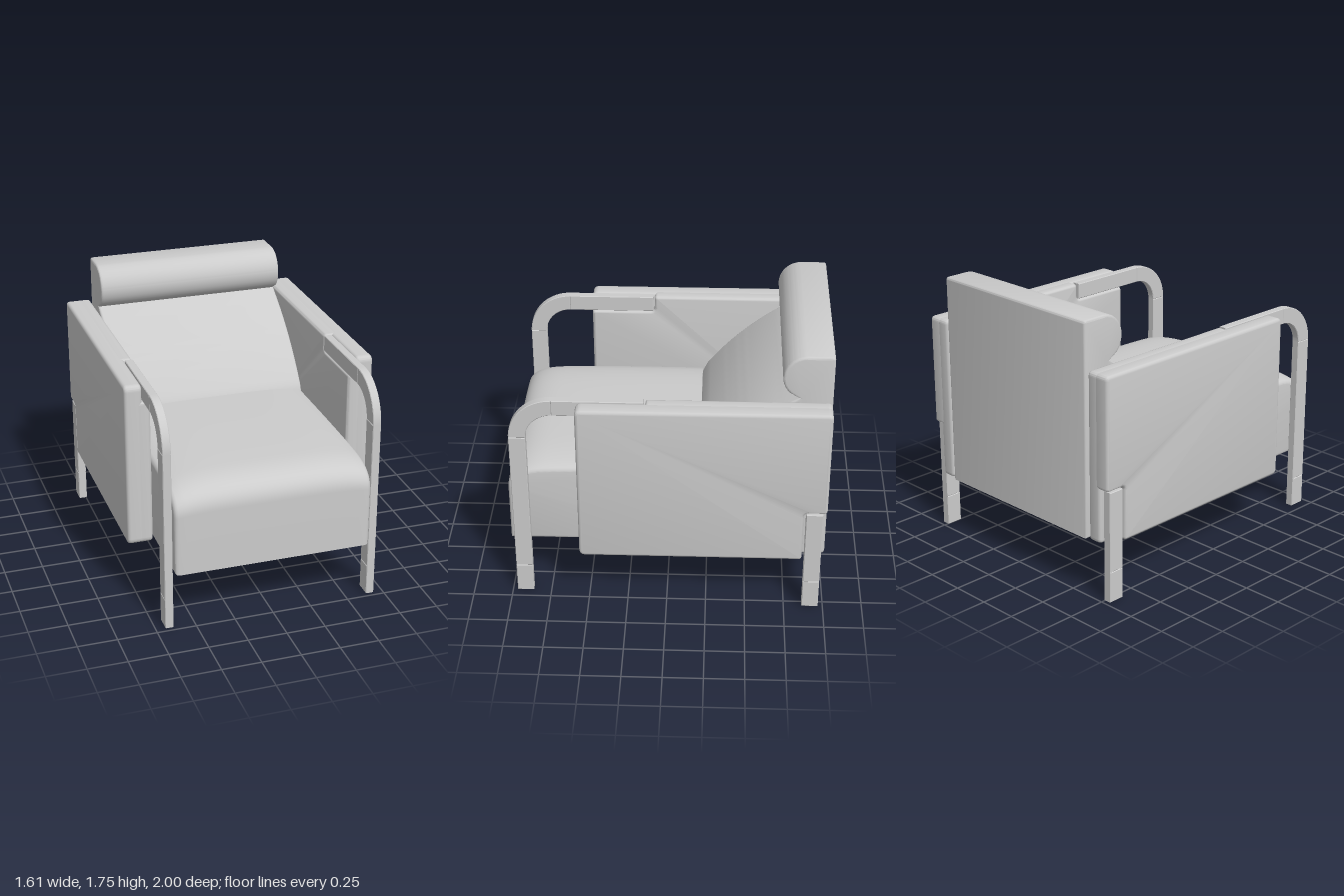
import * as THREE from 'three';
import { toCreasedNormals } from 'three/addons/utils/BufferGeometryUtils.js';

const material = new THREE.MeshStandardMaterial({ color: 0xcccccc });

// Side profile (z, y) extruded across x from x0 to x1, with softened edges
function slab(name, shape, x0, x1, bevel, { steps = 1, rule, segments = 3, crease = 0.6 } = {}) {
  const depth = x1 - x0 - 2 * bevel;
  let g = new THREE.ExtrudeGeometry(shape, {
    depth, steps, curveSegments: 20,
    bevelSize: bevel, bevelThickness: bevel, bevelOffset: -bevel, bevelSegments: segments,
  });
  g.translate(0, 0, -depth / 2);
  g.rotateY(-Math.PI / 2);
  g.translate((x0 + x1) / 2, 0, 0);
  if (rule) {
    const p = g.attributes.position;
    for (let i = 0; i < p.count; i++) p.setY(i, rule(p.getX(i), p.getY(i)));
  }
  g = toCreasedNormals(g, crease);
  const mesh = new THREE.Mesh(g, material);
  mesh.name = name;
  return mesh;
}

// Polygon with rounded corners; each point is [z, y, radius]
function rounded(points) {
  const shape = new THREE.Shape();
  const n = points.length;
  points.forEach(([x, y, r], i) => {
    const c = new THREE.Vector2(x, y);
    const toward = (q) => new THREE.Vector2(q[0], q[1]).sub(c).setLength(r).add(c);
    const a = toward(points[(i + n - 1) % n]);
    const b = toward(points[(i + 1) % n]);
    if (i === 0) shape.moveTo(a.x, a.y);
    else shape.lineTo(a.x, a.y);
    if (r > 0) shape.quadraticCurveTo(x, y, b.x, b.y);
  });
  shape.closePath();
  return shape;
}

const rect = (z0, z1, y0, y1, r = 0) =>
  rounded([[z0, y0, r], [z1, y0, r], [z1, y1, r], [z0, y1, r]]);

function seatShape() {
  const s = new THREE.Shape();
  s.moveTo(-0.2, 0.375);
  s.lineTo(1, 0.375);
  s.lineTo(1, 0.78);
  s.bezierCurveTo(1, 0.89, 0.92, 0.945, 0.76, 0.955);
  s.quadraticCurveTo(0.5, 0.97, -0.2, 0.965);
  s.closePath();
  return s;
}

function backShape() {
  const s = new THREE.Shape();
  s.moveTo(-1, 0.375);
  s.lineTo(-0.2, 0.375);
  s.lineTo(-0.2, 0.9);
  s.lineTo(-0.23, 0.965);
  s.quadraticCurveTo(-0.46, 1.27, -0.795, 1.46);
  s.lineTo(-0.74, 1.492);
  s.absarc(-0.84, 1.598, 0.147, -0.8, Math.PI / 2, false);
  s.lineTo(-0.98, 1.745);
  s.quadraticCurveTo(-1, 1.745, -1, 1.725);
  s.closePath();
  return s;
}

function bendShape() {
  const s = new THREE.Shape();
  s.absarc(0.7, 1.18, 0.27, 0, Math.PI / 2, false);
  s.absarc(0.7, 1.18, 0.165, Math.PI / 2, 0, true);
  s.closePath();
  return s;
}

function createSide(s) {
  const side = new THREE.Group();
  side.name = s > 0 ? 'leftSide' : 'rightSide';
  // Mirror an inner/outer pair of x limits to the chosen side
  const part = (name, shape, a, b, bevel, opts) =>
    side.add(slab(name, shape, Math.min(s * a, s * b), Math.max(s * a, s * b), bevel, opts));

  // Upholstered panel: two overlapping layers, one notched for the arm, one for the rear leg
  part('innerPanel', rounded([
    [-0.995, 0.375, 0.03], [0.55, 0.375, 0.04], [0.55, 1.34, 0.02],
    [0.13, 1.34, 0.03], [0.13, 1.45, 0.02], [-0.995, 1.45, 0.03],
  ]), 0.64, 0.735, 0.02);
  part('outerPanel', rounded([
    [-0.85, 0.375, 0.02], [0.55, 0.375, 0.04], [0.55, 1.45, 0.04],
    [-0.995, 1.45, 0.03], [-0.995, 0.73, 0.02], [-0.85, 0.73, 0.03],
  ]), 0.692, 0.803, 0.02);

  // Front frame: foot, post, bend and arm rail
  const wood = { segments: 1, crease: 0.4 };
  part('frontFoot', rect(0.865, 0.97, 0, 0.2), 0.637, 0.69, 0.004, wood);
  part('frontLeg', rect(0.865, 0.97, 0.2, 1.18), 0.637, 0.69, 0.004, wood);
  part('armBend', bendShape(), 0.637, 0.69, 0.004, wood);
  part('armRail', rect(0.14, 0.7, 1.345, 1.45), 0.637, 0.69, 0.004, wood);

  // Rear leg set into the outer face of the panel
  part('rearFoot', rect(-0.97, -0.865, 0, 0.2), 0.742, 0.797, 0.004, wood);
  part('rearLeg', rect(-0.97, -0.865, 0.2, 0.72), 0.742, 0.797, 0.004, wood);
  return side;
}

export function createModel() {
  const chair = new THREE.Group();
  chair.name = 'armchair';

  // Seat cushion, crowned so its top falls away toward the sides
  const crown = (x, y) => {
    const t = THREE.MathUtils.clamp((y - 0.6) / 0.36, 0, 1);
    return y - 0.045 * t * Math.abs(x / 0.63) ** 5;
  };
  chair.add(slab('seat', seatShape(), -0.63, 0.63, 0.025, { steps: 24, rule: crown }));

  // Backrest with its rolled headrest
  chair.add(slab('backrest', backShape(), -0.625, 0.625, 0.015));

  for (const s of [1, -1]) chair.add(createSide(s));
  return chair;
}
